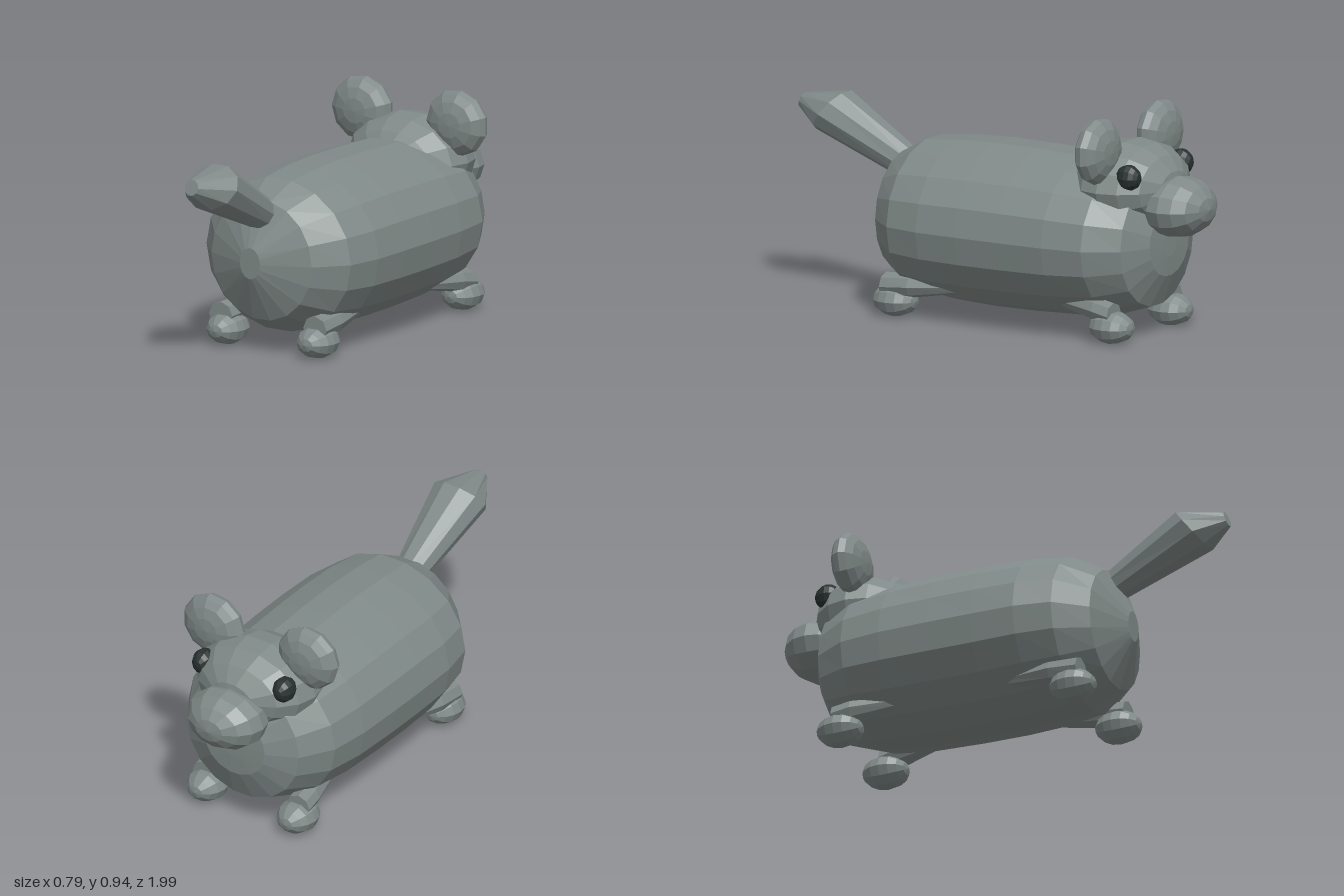
import * as THREE from 'three';

// Skin rings [x, y, z, rx, ry, tilt] listed from +z to -z, closed at both ends
function loft(rings, sides) {
  const first = rings[0], last = rings[rings.length - 1];
  const all = [
    [first[0], first[1], first[2], 0, 0, 0], ...rings,
    [last[0], last[1], last[2], 0, 0, 0],
  ];
  const pos = [], index = [];
  for (const [x, y, z, rx, ry, tilt = 0] of all) {
    for (let j = 0; j < sides; j++) {
      const a = (j / sides) * Math.PI * 2;
      const s = ry * Math.sin(a);
      pos.push(x + rx * Math.cos(a), y + s * Math.cos(tilt), z - s * Math.sin(tilt));
    }
  }
  for (let i = 0; i < all.length - 1; i++) {
    for (let j = 0; j < sides; j++) {
      const k = (j + 1) % sides;
      const a = i * sides + j, b = i * sides + k;
      const c = a + sides, d = b + sides;
      if (i > 0) index.push(a, c, b);
      if (i < all.length - 2) index.push(b, c, d);
      if (i === 0) index.push(a, c, d);
    }
  }
  const g = new THREE.BufferGeometry();
  g.setAttribute('position', new THREE.Float32BufferAttribute(pos, 3));
  g.setIndex(index);
  g.computeVertexNormals();
  return g;
}

// Faceted ellipsoid with its poles along z
function ellipsoid([x, y, z], [rx, ry, rz], sides, rows) {
  const g = new THREE.SphereGeometry(1, sides, rows);
  g.rotateX(Math.PI / 2);
  g.scale(rx, ry, rz);
  g.translate(x, y, z);
  return g;
}

export function createModel() {
  const fur = new THREE.MeshStandardMaterial({ color: 0x7f8987, flatShading: true });
  fur.name = 'grey fur';
  const dark = new THREE.MeshStandardMaterial({ color: 0x27302f, flatShading: true });
  dark.name = 'dark eye';

  const model = new THREE.Group();
  model.name = 'animal';
  const add = (name, geometry, material = fur) => {
    const mesh = new THREE.Mesh(geometry, material);
    mesh.name = name;
    model.add(mesh);
  };

  // Barrel body: z, rx, ry
  const profile = [
    [0.56, 0.05, 0.066], [0.475, 0.25, 0.255], [0.35, 0.36, 0.323],
    [0.19, 0.39, 0.34], [0, 0.393, 0.348], [-0.2, 0.393, 0.346],
    [-0.42, 0.388, 0.338], [-0.6, 0.365, 0.318], [-0.74, 0.28, 0.272],
    [-0.8, 0.15, 0.14], [-0.806, 0.05, 0.055],
  ];
  add('body', loft(profile.map(([z, rx, ry]) => [0, 0.397, z, rx, ry]), 18));

  // Raised tail, widest near its tip
  add('tail', loft([
    [0, 0.8, 0.985, 0.033, 0.034, 0.3],
    [0, 0.775, 0.835, 0.125, 0.107, 0.65],
    [0, 0.58, 0.45, 0.066, 0.066, 0.55],
  ], 10));

  // Head and muzzle
  add('head', ellipsoid([0, 0.63, -0.62], [0.28, 0.185, 0.225], 14, 8));
  add('muzzle', ellipsoid([0, 0.555, -0.85], [0.178, 0.128, 0.15], 12, 8));

  for (const s of [1, -1]) {
    const side = s > 0 ? 'left' : 'right';
    add(side + 'Ear', ellipsoid([s * 0.236, 0.798, -0.605], [0.147, 0.14, 0.07], 11, 8));
    add(side + 'Eye', ellipsoid([s * 0.2, 0.695, -0.73], [0.048, 0.056, 0.056], 10, 8), dark);

    // Legs emerging low from the belly
    add(side + 'HindLeg', loft([
      [s * 0.235, 0.125, 0.43, 0.058, 0.055],
      [s * 0.23, 0.135, 0.3, 0.06, 0.05],
      [s * 0.21, 0.15, 0.06, 0.025, 0.025],
    ], 8));
    add(side + 'FrontLeg', loft([
      [s * 0.21, 0.15, -0.42, 0.028, 0.028],
      [s * 0.23, 0.135, -0.6, 0.056, 0.05],
      [s * 0.235, 0.12, -0.68, 0.056, 0.05],
    ], 8));

    // Paws
    add(side + 'HindPaw', ellipsoid([s * 0.225, 0.066, 0.39], [0.086, 0.069, 0.1], 10, 8));
    add(side + 'FrontPaw', ellipsoid([s * 0.225, 0.066, -0.664], [0.086, 0.069, 0.1], 10, 8));
  }
  return model;
}
